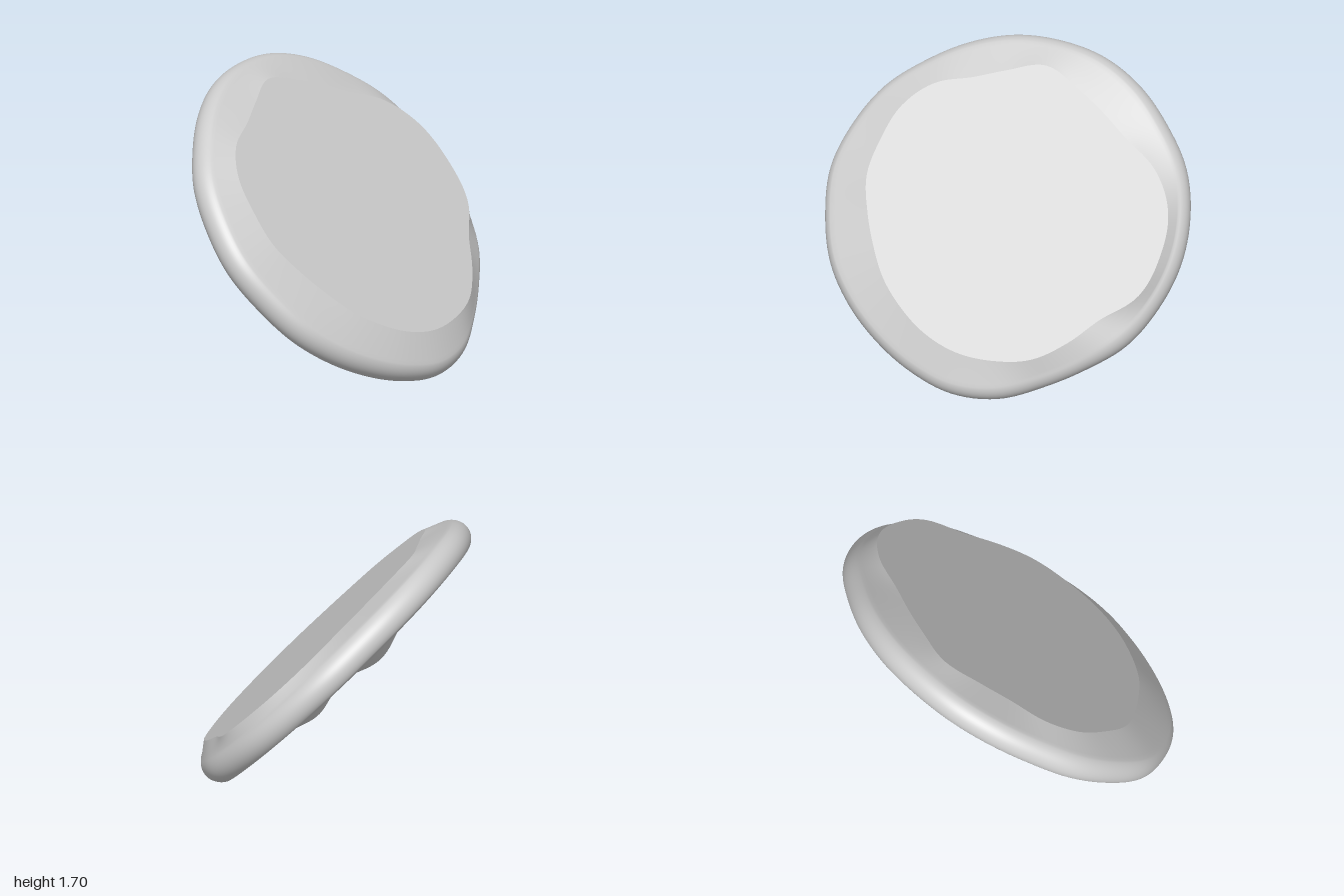
import * as THREE from 'three';

const SEG = 144, TOP = 0.16, BOTTOM = -0.1, EDGE = 0.1;

// Radii every 15 degrees: edge of the flat face, and the outer rim
const FLAT = [1.04, 1.04, 0.98, 0.88, 0.855, 0.87, 0.92, 0.86, 0.845, 0.9, 0.91, 0.88,
  0.865, 0.82, 0.8, 0.81, 0.825, 0.855, 0.885, 0.906, 0.93, 0.92, 0.925, 1.02];
const RIM = [1.13, 1.135, 1.135, 1.115, 1.117, 1.117, 1.105, 1.1, 1.09, 1.09, 1.115, 1.125,
  1.138, 1.118, 1.11, 1.09, 1.08, 1.09, 1.112, 1.105, 1.07, 1.07, 1.104, 1.115];

// Smooth periodic interpolation of a radius table, u in 0..1
function sample(table, u) {
  const n = table.length, f = u * n, i = Math.floor(f), t = f - i;
  const [a, b, c, d] = [-1, 0, 1, 2].map(k => table[(i + k + n) % n]);
  return b + 0.5 * t * (c - a + t * (2 * a - 5 * b + 4 * c - d + t * (3 * (b - c) + d - a)));
}

// Lumps on the underside: [x, y, radius, height]
const LUMPS = [[-0.02, 0.2, 0.22, 0.1], [0.53, 0, 0.16, 0.06], [0.2, -0.35, 0.25, -0.01],
  [-0.5, 0.3, 0.25, 0.012]];
const lump = (x, y) => LUMPS.reduce(
  (s, [cx, cy, r, h]) => s + h * Math.exp(-((x - cx) ** 2 + (y - cy) ** 2) / (r * r)), 0);

// Cross-section at one angle: sloping shoulder, tight round edge, nearly flat underside
function section(f, R, waist) {
  const out = [], SLOPE = 8, ROUND = 16, UNDER = 40, bend = Math.PI / 3;
  const r0 = R - EDGE * (1 - Math.cos(bend)), dz = EDGE * Math.sin(bend);
  for (let i = 0; i < SLOPE; i++) {
    const t = i / SLOPE;
    out.push([f + (r0 - f) * t, TOP + (waist + dz - TOP) * t]);
  }
  for (let i = 0; i < ROUND; i++) {
    const a = bend * (1 - 2 * i / ROUND);
    out.push([R - EDGE * (1 - Math.cos(a)), waist + EDGE * Math.sin(a)]);
  }
  for (let i = 0; i < UNDER; i++) {
    const q = 1 - i / UNDER;
    out.push([r0 * q, BOTTOM + (waist - dz - BOTTOM) * q ** 6]);
  }
  return out;
}

// Sections joined around the slab and closed at the bottom centre
function bodyGeometry() {
  const pos = [], index = [];
  let rings = 0;
  for (let j = 0; j < SEG; j++) {
    const u = j / SEG, a = u * Math.PI * 2;
    const waist = 0.01 + 0.01 * Math.sin(a);
    const pts = section(sample(FLAT, u), sample(RIM, u), waist);
    rings = pts.length;
    for (const [r, z] of pts) {
      const x = r * Math.cos(a), y = r * Math.sin(a);
      pos.push(x, y, z - (z < waist ? lump(x, y) : 0));
    }
  }
  const centre = SEG * rings;
  pos.push(0, 0, BOTTOM - lump(0, 0));
  for (let j = 0; j < SEG; j++) {
    const a = j * rings, b = ((j + 1) % SEG) * rings;
    for (let i = 0; i < rings - 1; i++) {
      index.push(a + i, a + i + 1, b + i + 1, a + i, b + i + 1, b + i);
    }
    index.push(a + rings - 1, centre, b + rings - 1);
  }
  const g = new THREE.BufferGeometry();
  g.setAttribute('position', new THREE.Float32BufferAttribute(pos, 3));
  g.setIndex(index);
  g.computeVertexNormals();
  return g;
}

// Flat cut face
function faceGeometry() {
  const pts = [];
  for (let j = 0; j < SEG; j++) {
    const a = (j / SEG) * Math.PI * 2, r = sample(FLAT, j / SEG);
    pts.push(new THREE.Vector2(r * Math.cos(a), r * Math.sin(a)));
  }
  return new THREE.ShapeGeometry(new THREE.Shape(pts)).translate(0, 0, TOP);
}

export function createModel() {
  const grey = new THREE.MeshStandardMaterial({ color: 0xcccccc });
  grey.name = 'light grey';

  const slab = new THREE.Group();
  slab.name = 'slab';
  const body = new THREE.Mesh(bodyGeometry(), grey);
  body.name = 'roundedBody';
  const face = new THREE.Mesh(faceGeometry(), grey);
  face.name = 'flatFace';
  slab.add(body, face);

  // Tilt the slab so its flat face looks up, forward and to the side
  const n = new THREE.Vector3(0.568, 0.678, 0.466).normalize();
  const e1 = new THREE.Vector3(1, 0, -1).normalize();
  e1.addScaledVector(n, -e1.dot(n)).normalize();
  const e2 = new THREE.Vector3().crossVectors(n, e1);
  slab.quaternion.setFromRotationMatrix(new THREE.Matrix4().makeBasis(e1, e2, n));

  // Rest on the ground, centred
  const model = new THREE.Group();
  model.name = 'model';
  model.add(slab);
  model.updateMatrixWorld(true);
  const box = new THREE.Box3().setFromObject(model, true);
  const c = box.getCenter(new THREE.Vector3());
  slab.position.set(-c.x, -box.min.y, -c.z);
  return model;
}
